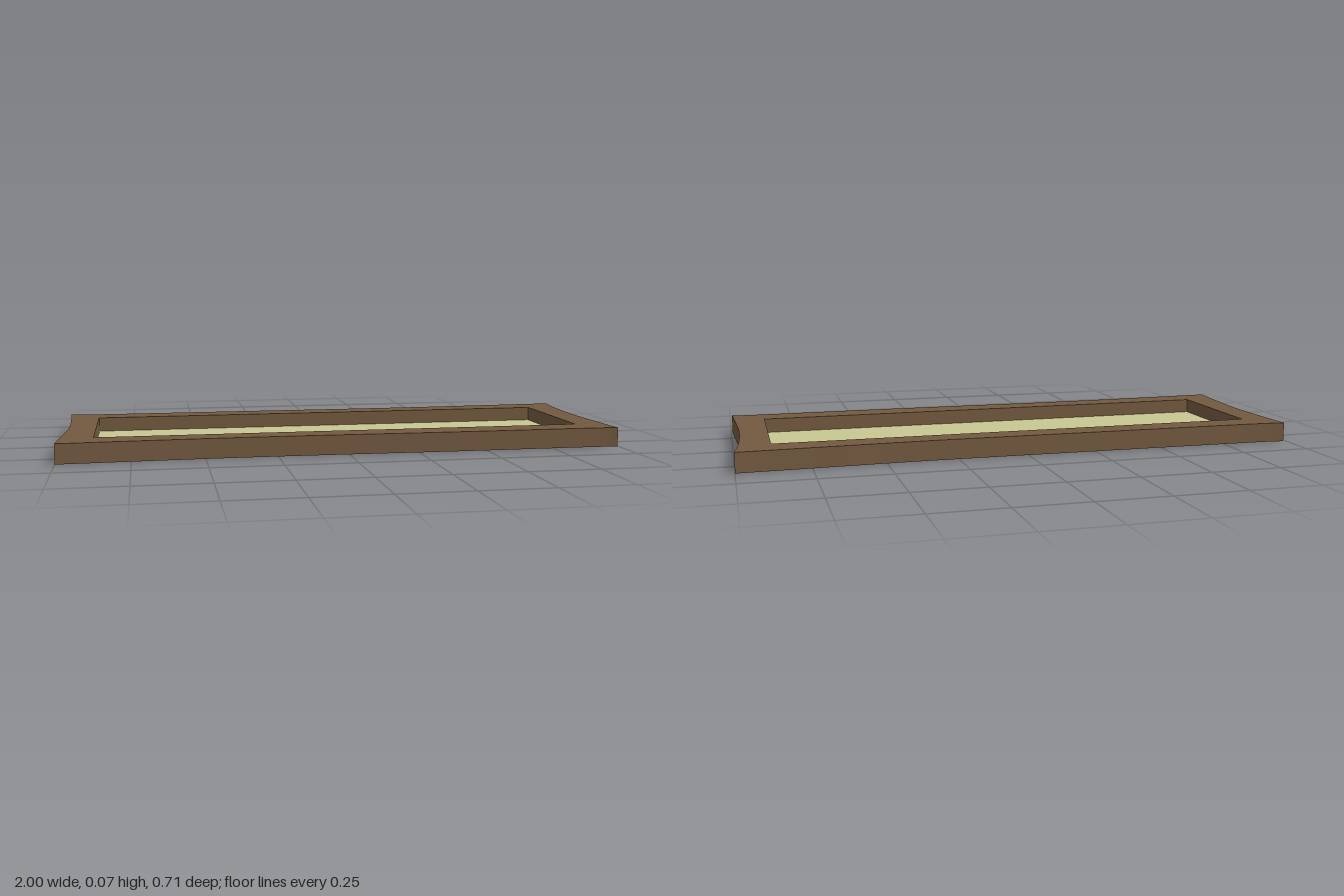
import * as THREE from 'three';

const HEIGHT = 0.07;
const PANEL_TOP = 0.018;
const HOLE = { x0: -0.877, x1: 0.877, z0: -0.243, z1: 0.239 };

// Slightly irregular, inward-bowed sides, each from corner to corner as [x, z]
const SIDES = [
  [[-1, 0.352], [-0.37, 0.333], [0.4, 0.344], [0.88, 0.344], [0.995, 0.352]],
  [[0.995, 0.352], [0.985, 0.2], [0.976, 0], [0.982, -0.2], [1, -0.355]],
  [[1, -0.355], [0.67, -0.344], [0.3, -0.335], [-0.3, -0.34], [-0.85, -0.346], [-0.99, -0.355]],
  [[-0.99, -0.355], [-0.98, -0.2], [-0.974, 0], [-0.984, 0.16], [-1, 0.352]],
];

export function createModel() {
  const group = new THREE.Group();
  group.name = 'tray';

  // Outline with a rectangular opening; shape y is -z
  const shape = new THREE.Shape();
  shape.moveTo(SIDES[0][0][0], -SIDES[0][0][1]);
  for (const side of SIDES) {
    shape.splineThru(side.slice(1).map(([x, z]) => new THREE.Vector2(x, -z)));
  }
  const hole = new THREE.Path();
  hole.moveTo(HOLE.x0, -HOLE.z0);
  hole.lineTo(HOLE.x1, -HOLE.z0);
  hole.lineTo(HOLE.x1, -HOLE.z1);
  hole.lineTo(HOLE.x0, -HOLE.z1);
  hole.closePath();
  shape.holes.push(hole);

  // Wooden frame
  const frameGeometry = new THREE.ExtrudeGeometry(shape, {
    depth: HEIGHT, bevelEnabled: false, curveSegments: 4,
  });
  frameGeometry.rotateX(-Math.PI / 2);
  const frame = new THREE.Mesh(frameGeometry, new THREE.MeshStandardMaterial({ color: 0x735a40 }));
  frame.name = 'frame';
  group.add(frame);

  // Thin panel filling the bottom of the opening
  const panel = new THREE.Mesh(
    new THREE.BoxGeometry(HOLE.x1 - HOLE.x0, PANEL_TOP, HOLE.z1 - HOLE.z0),
    new THREE.MeshStandardMaterial({ color: 0xc8c893 }),
  );
  panel.name = 'panel';
  panel.position.set((HOLE.x0 + HOLE.x1) / 2, PANEL_TOP / 2, (HOLE.z0 + HOLE.z1) / 2);
  group.add(panel);

  return group;
}
